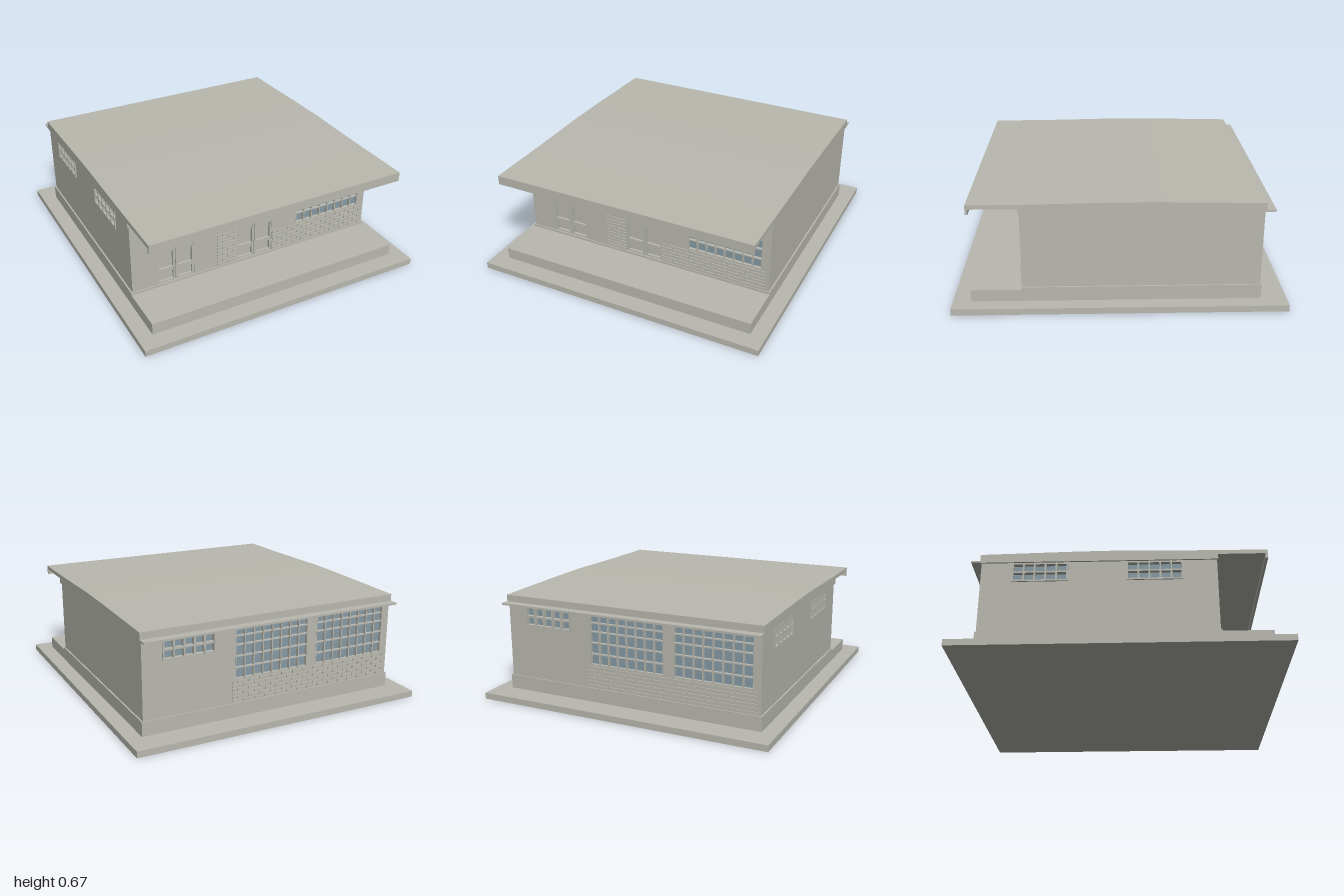
import * as THREE from 'three';
import { mergeGeometries } from 'three/addons/utils/BufferGeometryUtils.js';

const plaster = new THREE.MeshStandardMaterial({ color: 0xb9b9b0 });
plaster.name = 'grey plaster';
const glass = new THREE.MeshStandardMaterial({ color: 0x869aa4 });
glass.name = 'blue glass';

// Box given by its minimum and maximum corners
function span(x0, x1, y0, y1, z0, z1) {
  return new THREE.BoxGeometry(x1 - x0, y1 - y0, z1 - z0)
    .translate((x0 + x1) / 2, (y0 + y1) / 2, (z0 + z1) / 2);
}

function add(parent, name, geometry, material = plaster) {
  const mesh = new THREE.Mesh(geometry, material);
  mesh.name = name;
  parent.add(mesh);
  return mesh;
}

const WALL_Y0 = 0.13, WALL_Y1 = 0.6, DEPTH = 0.03;

// Wall panel in local space: outer face at z = 0, openings are [x0, x1, y0, y1]
function wallPanel(x0, x1, openings) {
  const rect = (target, [a, b, c, d]) =>
    target.moveTo(a, c).lineTo(b, c).lineTo(b, d).lineTo(a, d).closePath();
  const shape = rect(new THREE.Shape(), [x0, x1, WALL_Y0, WALL_Y1]);
  openings.forEach(o => shape.holes.push(rect(new THREE.Path(), o)));
  return new THREE.ExtrudeGeometry(shape, { depth: DEPTH, bevelEnabled: false }).translate(0, 0, -DEPTH);
}

// Bars at the given positions, plus glass or a solid leaf set behind them
function gridWindow(parent, name, [x0, x1, y0, y1], cols, rowLines, bar, front) {
  const group = new THREE.Group();
  group.name = name;
  const bars = [];
  for (let i = 0; i <= cols; i++) {
    const x = x0 + bar / 2 + (x1 - x0 - bar) * i / cols;
    bars.push(span(x - bar / 2, x + bar / 2, y0, y1, -0.025, front));
  }
  rowLines.forEach(y => bars.push(span(x0, x1, y - bar / 2, y + bar / 2, -0.025, front - 0.001)));
  add(group, 'windowBars', mergeGeometries(bars));
  add(group, 'windowGlass', span(x0, x1, y0, y1, -0.026, -0.018), glass);
  parent.add(group);
}

const LARGE_ROWS = [0.279, 0.347, 0.417, 0.487, 0.542, 0.588];
const SMALL_ROWS = [0.474, 0.532, 0.59];
const largeWindow = (parent, o) => gridWindow(parent, 'largeWindow', o, 8, LARGE_ROWS, 0.007, 0.001);
const smallWindow = (parent, o) => gridWindow(parent, 'smallWindow', o, 5, SMALL_ROWS, 0.011, 0.008);

// Double door with three recessed panels in each leaf
function doubleDoor(parent, [x0, x1, y0, y1]) {
  const group = new THREE.Group();
  group.name = 'doubleDoor';
  const mid = (x0 + x1) / 2;
  const parts = [span(x0, x1, y0, y1, -0.029, -0.02)];
  for (const [a, b] of [[x0, mid - 0.002], [mid + 0.002, x1]]) {
    const stile = 0.014;
    parts.push(span(a, a + stile, y0, y1, -0.021, -0.003), span(b - stile, b, y0, y1, -0.021, -0.003));
    for (const [c, d] of [[y0, 0.142], [0.204, 0.23], [0.344, 0.372], [0.495, y1]])
      parts.push(span(a + stile, b - stile, c, d, -0.021, -0.004));
  }
  add(group, 'doorLeaves', mergeGeometries(parts));
  parent.add(group);
}

// Staggered raised bricks filling a rectangle
function brickwork(parent, x0, x1, y0, y1) {
  const rows = Math.round((y1 - y0) / 0.0235), h = (y1 - y0) / rows;
  const length = 0.075, gap = 0.008, bricks = [];
  for (let r = 0; r < rows; r++) {
    for (let x = x0 - (r % 2) * length / 2; x < x1; x += length) {
      const a = Math.max(x, x0), b = Math.min(x + length - gap, x1);
      if (b - a > 0.008) bricks.push(span(a, b, y0 + r * h + 0.003, y0 + (r + 1) * h - 0.003, -0.002, 0.006));
    }
  }
  add(parent, 'brickwork', mergeGeometries(bricks));
}

// Group whose local z points out of one side of the house
function side(house, name, x, z, angle) {
  const group = new THREE.Group();
  group.name = name;
  group.position.set(x, 0, z);
  group.rotation.y = angle;
  house.add(group);
  return group;
}

export function createModel() {
  const house = new THREE.Group();
  house.name = 'house';

  // Ground slab, veranda plinth and wall footing
  add(house, 'groundSlab', span(-0.95, 0.95, 0, 0.04, -1, 1));
  add(house, 'plinth', span(-0.855, 0.855, 0.04, 0.115, -0.845, 0.89));
  add(house, 'wallFooting', span(-0.855, 0.855, 0.115, 0.13, -0.845, 0.592));

  // Solid core, whose right face is the plain side wall
  add(house, 'wallCore', span(-0.815, 0.845, WALL_Y0, WALL_Y1, -0.808, 0.555));

  // Front wall: two double doors, a large window and brickwork
  const front = side(house, 'frontWall', 0, 0.585, 0);
  const doors = [[-0.68, -0.43, 0.132, 0.52], [-0.13, 0.125, 0.132, 0.52]];
  const frontWindow = [0.303, 0.795, 0.275, 0.592];
  add(front, 'wallPanel', wallPanel(-0.845, 0.845, [...doors, frontWindow]));
  doors.forEach(d => doubleDoor(front, d));
  largeWindow(front, frontWindow);
  brickwork(front, -0.27, -0.135, WALL_Y0, WALL_Y1);
  brickwork(front, 0.13, 0.82, WALL_Y0, 0.272);

  // Back wall: two large windows over brickwork and one small window
  const back = side(house, 'backWall', 0, -0.838, Math.PI);
  const backLarge = [[-0.26, 0.24, 0.275, 0.592], [0.30, 0.80, 0.275, 0.592]];
  const backSmall = [-0.72, -0.39, 0.468, 0.596];
  add(back, 'wallPanel', wallPanel(-0.845, 0.845, [...backLarge, backSmall]));
  backLarge.forEach(o => largeWindow(back, o));
  smallWindow(back, backSmall);
  brickwork(back, -0.28, 0.82, WALL_Y0, 0.272);

  // Side wall with two small high windows
  const right = side(house, 'sideWall', -0.845, 0, -Math.PI / 2);
  const sideWindows = [[-0.65, -0.31, 0.468, 0.596], [0.04, 0.38, 0.468, 0.596]];
  add(right, 'wallPanel', wallPanel(-0.838, 0.585, sideWindows));
  sideWindows.forEach(o => smallWindow(right, o));

  // Gently cambered roof with a front canopy and drip edge, profile in (z, y)
  const profile = [
    [0.89, 0.6], [0.89, 0.659], [0.52, 0.661], [0.25, 0.665], [0, 0.67], [-0.25, 0.668],
    [-0.6, 0.661], [-0.845, 0.656], [-0.845, 0.6], [0.592, 0.6], [0.592, 0.633], [0.875, 0.633], [0.875, 0.6],
  ].map(([z, y]) => new THREE.Vector2(-z, y));
  const roof = new THREE.ExtrudeGeometry(new THREE.Shape(profile), { depth: 1.71, bevelEnabled: false });
  add(house, 'roof', roof.rotateY(Math.PI / 2).translate(-0.855, 0, 0));

  // Thin sunshade along the back
  add(house, 'backSunshade', span(-0.855, 0.855, 0.602, 0.614, -0.9, -0.84));

  return house;
}
